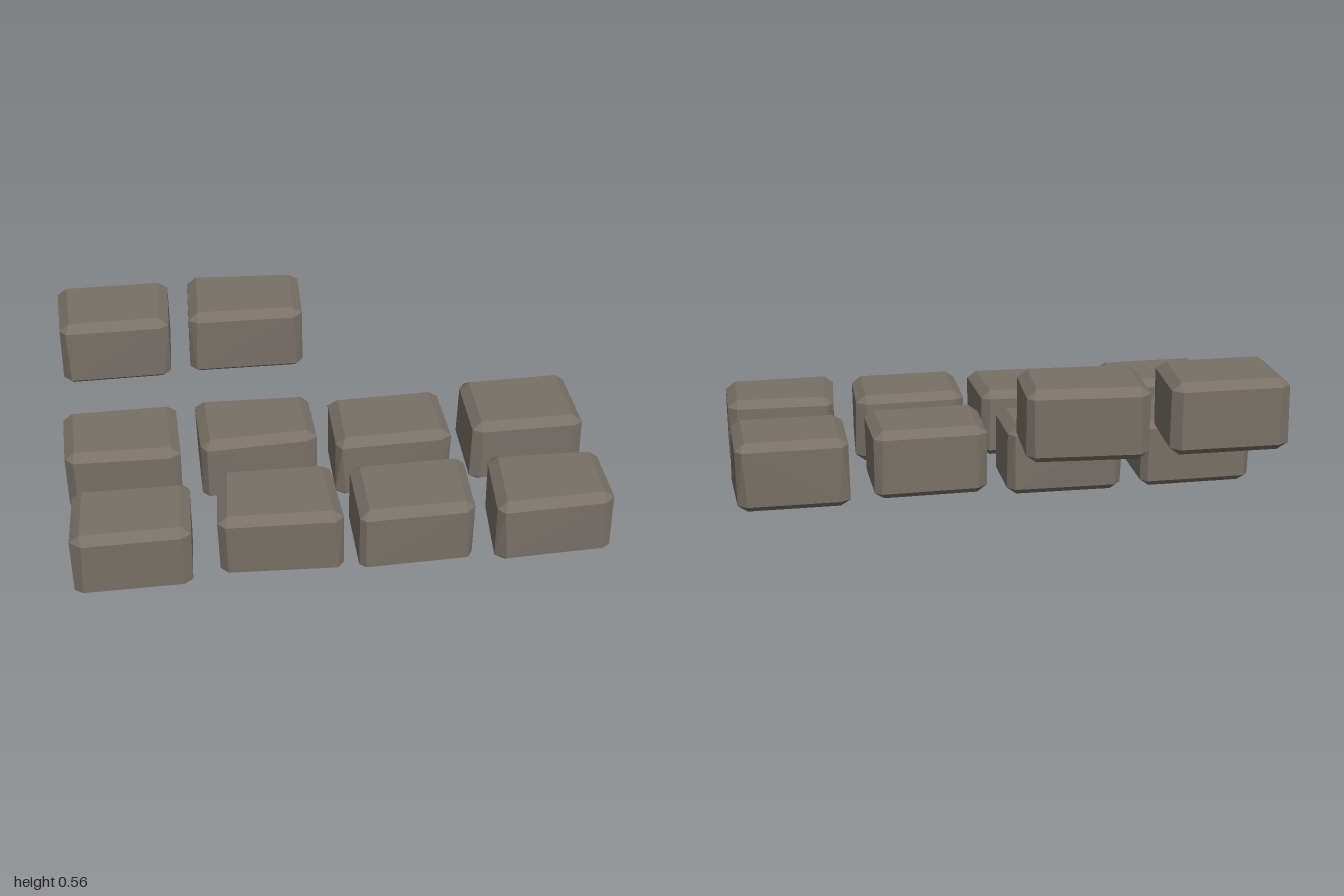
import * as THREE from 'three';
import { ConvexGeometry } from 'three/addons/geometries/ConvexGeometry.js';

// Each stone: bottom height, then plan corners [x, z]: back -x, back +x, front +x, front -x
const STONES = [
  [0.29, [-0.99, -0.62], [-0.55, -0.62], [-0.56, -0.29], [-0.99, -0.29]],
  [0.29, [-0.48, -0.64], [-0.03, -0.61], [-0.04, -0.30], [-0.49, -0.31]],
  [0, [-1.00, -0.18], [-0.56, -0.18], [-0.56, 0.15], [-1.00, 0.14]],
  [0, [-0.49, -0.19], [-0.04, -0.18], [-0.04, 0.11], [-0.49, 0.13]],
  [0, [0.02, -0.14], [0.46, -0.14], [0.47, 0.17], [0.02, 0.18]],
  [0, [0.55, -0.19], [0.98, -0.19], [0.99, 0.15], [0.55, 0.15]],
  [0, [-0.98, 0.30], [-0.54, 0.31], [-0.55, 0.62], [-0.99, 0.62]],
  [0, [-0.44, 0.26], [-0.01, 0.26], [0.00, 0.60], [-0.46, 0.58]],
  [0, [0.05, 0.29], [0.49, 0.28], [0.48, 0.61], [0.05, 0.61]],
  [0, [0.57, 0.30], [0.99, 0.31], [0.99, 0.62], [0.55, 0.63]],
];
const SIGNS = [[-1, -1], [1, -1], [1, 1], [-1, 1]];
const HEIGHT = 0.275;

// Chamfered block whose bevel widths vary a little from corner to corner
function stoneGeometry([y0, ...corners], rand) {
  const points = [];
  corners.forEach(([x, z], i) => {
    const [sx, sz] = SIGNS[i];
    for (const sy of [-1, 1]) {
      const lean = 0.008 * rand();
      const px = x - sx * lean;
      const pz = z - sz * lean;
      const py = y0 + (sy > 0 ? HEIGHT : 0.004);
      const cx = 0.02 + 0.022 * rand();
      const cz = 0.02 + 0.015 * rand();
      const cy = 0.028;
      points.push(
        new THREE.Vector3(px, py - sy * cy, pz - sz * cz),
        new THREE.Vector3(px - sx * cx, py - sy * cy, pz),
        new THREE.Vector3(px - sx * 0.037, py, pz - sz * 0.034),
      );
    }
  });
  return new ConvexGeometry(points);
}

export function createModel() {
  const group = new THREE.Group();
  group.name = 'stoneBlocks';
  const stone = new THREE.MeshStandardMaterial({ color: 0x787068 });
  stone.name = 'grey brown stone';

  // Small seeded generator
  let seed = 7;
  const rand = () => (seed = (seed * 16807) % 2147483647) / 2147483647;

  STONES.forEach((data, i) => {
    const mesh = new THREE.Mesh(stoneGeometry(data, rand), stone);
    mesh.name = `${data[0] > 0 ? 'raisedStone' : 'groundStone'}${i + 1}`;
    group.add(mesh);
  });
  return group;
}
